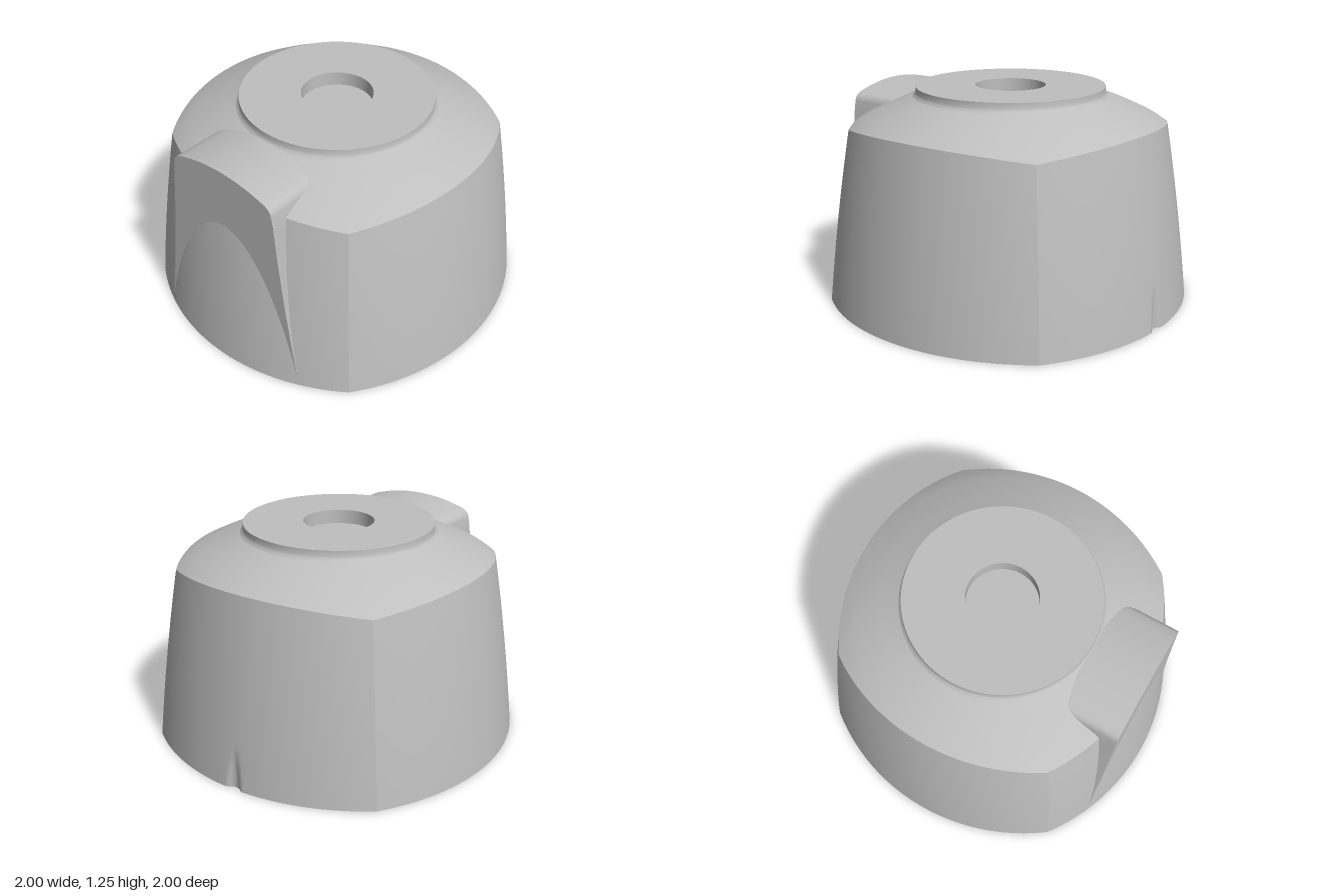
import * as THREE from 'three';
import { mergeVertices, toCreasedNormals } from 'three/addons/utils/BufferGeometryUtils.js';

const grey = new THREE.MeshStandardMaterial({ color: 0xbfbfbf, side: THREE.DoubleSide });
grey.name = 'grey';

const COLS = 56, ROWS = 30;

// Smooth surface from a grid of points fn(i, j)
function grid(nu, nv, fn) {
  const pos = [], idx = [];
  for (let j = 0; j <= nv; j++) for (let i = 0; i <= nu; i++) pos.push(...fn(i, j));
  for (let j = 0; j < nv; j++) for (let i = 0; i < nu; i++) {
    const a = j * (nu + 1) + i, b = a + nu + 1;
    idx.push(a, b, a + 1, a + 1, b, b + 1);
  }
  let g = new THREE.BufferGeometry();
  g.setAttribute('position', new THREE.Float32BufferAttribute(pos, 3));
  g.setIndex(idx);
  g = mergeVertices(g, 1e-5);
  g.computeVertexNormals();
  return g;
}

// Half width of the housing at height y, and height of the sloping top at radius r
const halfWidth = y => 1 - 0.0996 * y - 0.035 * y * y;
const slope = [[0.54, 1.203], [0.6, 1.177], [0.7, 1.135], [0.8, 1.088], [0.855, 1.06], [0.92, 1.015], [1.1, 0.89]];
function topHeight(r) {
  let i = 0;
  while (i < slope.length - 2 && r > slope[i + 1][0]) i++;
  const [a, b] = [slope[i], slope[i + 1]];
  return a[1] + (b[1] - a[1]) * (r - a[0]) / (b[0] - a[0]);
}

// Point on bulging side k; column i is denser near the middle for the notch
function wallPoint(k, i, y) {
  const u = 2 * i / COLS - 1, t = u * (0.25 + 0.75 * Math.abs(u));
  const R = halfWidth(y) + 0.25;
  const c = (-0.5 + Math.sqrt(0.25 + 8 * (R * R - 0.0625))) / 4;
  const phi = Math.atan2(c, c + 0.25) * t;
  let out = R * Math.cos(phi) - 0.25;
  const along = R * Math.sin(phi);
  if (k === 0 && Math.abs(along) < 0.055) out = Math.min(out, 1.03 - Math.sqrt(0.055 ** 2 - along ** 2));
  const cs = [1, 0, -1, 0][k], sn = [0, 1, 0, -1][k];
  return [out * cs - along * sn, y, out * sn + along * cs];
}
function edgePoint(k, i) {
  let p = wallPoint(k, i, 1.06);
  for (let n = 0; n < 8; n++) p = wallPoint(k, i, topHeight(Math.hypot(p[0], p[2])));
  return p;
}

const circle = (x, z, r) => new THREE.Path().absarc(x, z, r, 0, Math.PI * 2, true);

// Horizontal plate between heights y0 and y1
function plate(shape, y0, y1) {
  return new THREE.ExtrudeGeometry(shape, { depth: y1 - y0, bevelEnabled: false, curveSegments: 40 })
    .rotateX(Math.PI / 2).translate(0, y1, 0);
}
const flat = (shape, y) => new THREE.ShapeGeometry(shape, 24).rotateX(Math.PI / 2).translate(0, y, 0);

export function createModel() {
  const model = new THREE.Group();
  const add = (name, geometry) => {
    const m = new THREE.Mesh(geometry, grey);
    m.name = name;
    model.add(m);
    return m;
  };

  // Four bulging side walls
  for (let k = 0; k < 4; k++) {
    add('sideWall', grid(COLS, ROWS, (i, j) => wallPoint(k, i, edgePoint(k, i)[1] * j / ROWS)));
  }

  // Sloping top, from the wall edge to the collar
  add('slopingTop', grid(COLS * 4, 8, (i, j) => {
    const k = Math.floor(i / COLS) % 4;
    const p = edgePoint(k, i % COLS), r = Math.hypot(p[0], p[2]);
    const q = r + (0.54 - r) * j / 8;
    return [p[0] * q / r, topHeight(q), p[2] * q / r];
  }));

  // Raised collar with a round socket
  const collar = [[0, 1.17], [0.2, 1.17], [0.2, 1.25], [0.54, 1.25], [0.54, 1.218], [0.545, 1.207], [0.56, 1.193]];
  add('collar', toCreasedNormals(
    new THREE.LatheGeometry(collar.map(p => new THREE.Vector2(...p)), 96), 0.6));

  // Flat faced spout housing on the right side
  const s = new THREE.Shape();
  s.moveTo(-0.505, 0.03);
  s.lineTo(0.505, 0.03);
  s.quadraticCurveTo(0.41, 0.55, 0.365, 1.04);
  s.lineTo(0.355, 1.1);
  s.quadraticCurveTo(0.35, 1.14, 0.31, 1.155);
  s.quadraticCurveTo(0, 1.255, -0.31, 1.155);
  s.quadraticCurveTo(-0.35, 1.14, -0.355, 1.1);
  s.lineTo(-0.365, 1.04);
  s.quadraticCurveTo(-0.41, 0.55, -0.505, 0.03);
  add('spoutHousing', toCreasedNormals(
    new THREE.ExtrudeGeometry(s, { depth: 0.39, bevelEnabled: false, curveSegments: 20 })
      .translate(0, 0, 0.5).rotateY(-Math.PI / 2), 0.6));

  // Outline of the underside recess, stepping inward around the screw holes
  const holeAngle = Math.atan2(-0.615, 0.735), holeR = 0.958, N = 360;
  const recess = [];
  for (let n = 0; n < N; n++) {
    const a = n / N * Math.PI * 2, q = Math.PI / 2;
    const fold = a - Math.round(a / q) * q;
    let r = -0.25 * Math.cos(fold) + Math.sqrt(1.18 ** 2 - (0.25 * Math.sin(fold)) ** 2);
    r = Math.min(r, 0.93);
    const d = a - holeAngle, delta = d - Math.round(d / q) * q;
    const side = holeR * Math.sin(delta);
    if (Math.abs(side) < 0.1) r = Math.min(r, holeR * Math.cos(delta) - Math.sqrt(0.01 - side * side));
    recess.push(new THREE.Vector2(r * Math.cos(a), r * Math.sin(a)));
  }

  // Bottom rim, recess wall and recess floor
  const outline = [];
  for (let k = 0; k < 4; k++) for (let i = 0; i < COLS; i++) {
    const p = wallPoint(k, i, 0);
    outline.push(new THREE.Vector2(p[0], p[2]));
  }
  const rim = new THREE.Shape(outline);
  rim.holes.push(new THREE.Path(recess));
  const quarter = (x, z) => [[x, z], [-z, x], [-x, -z], [z, -x]];
  const screws = quarter(0.735, -0.615);
  screws.forEach(([x, z]) => rim.holes.push(circle(x, z, 0.036)));
  add('bottomRim', flat(rim, 0));
  add('recessWall', grid(N, 1, (i, j) => [recess[i % N].x, j * 0.03, recess[i % N].y]));
  add('recessFloor', flat(new THREE.Shape(recess), 0.03));

  // Screw holes in the rim
  screws.forEach(([x, z]) => {
    const pts = [[0, 0.12], [0.036, 0.12], [0.036, 0]].map(p => new THREE.Vector2(...p));
    add('screwHole', toCreasedNormals(new THREE.LatheGeometry(pts, 24), 0.6).translate(x, 0, z));
  });

  // Round bottom cover with large and small bosses
  const disc = r => new THREE.Shape().absarc(0, 0, r, 0, Math.PI * 2, false);
  add('bottomCover', toCreasedNormals(plate(disc(0.84), 0.015, 0.03), 0.6));
  const boss = (name, x, z, r, hole) => {
    const shape = disc(r);
    shape.holes.push(circle(0, 0, hole));
    add(name, toCreasedNormals(plate(shape, 0.003, 0.03), 0.6)).position.set(x, 0, z);
  };
  quarter(0.56, -0.47).forEach(([x, z]) => boss('largeBoss', x, z, 0.12, 0.035));
  [[0.07, -0.78], [-0.07, 0.78]].forEach(([x, z]) => boss('smallBoss', x, z, 0.06, 0.025));

  return model;
}
